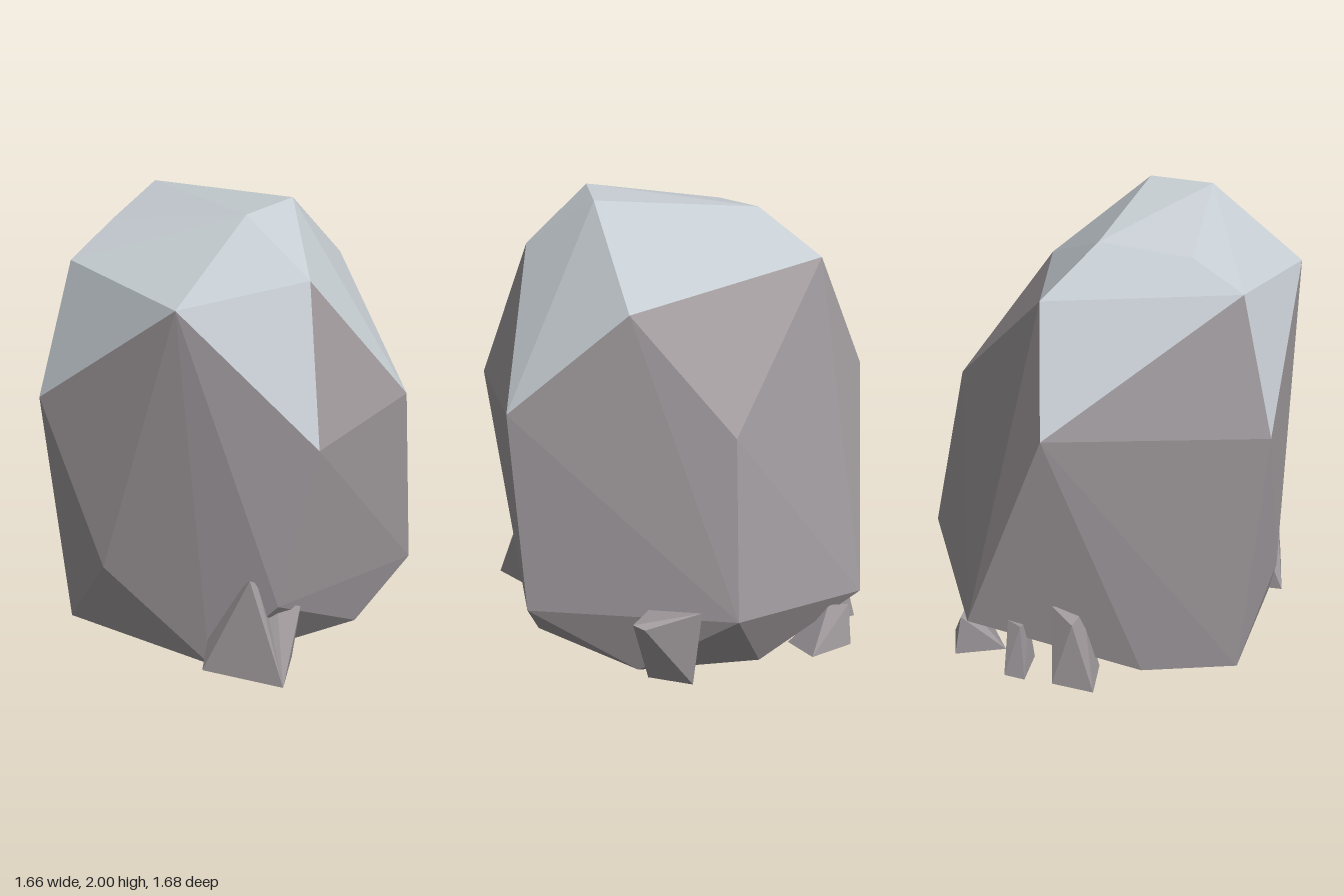
import * as THREE from 'three';
import { ConvexGeometry } from 'three/addons/geometries/ConvexGeometry.js';

const rock = new THREE.MeshStandardMaterial({ color: 0xa09a9d });
rock.name = 'greyRock';
const snow = new THREE.MeshStandardMaterial({ color: 0xc6cdd2 });
snow.name = 'paleCap';

// faceted solid wrapped around a few corner points
function facet(corners) {
  return new ConvexGeometry(corners.map((c) => new THREE.Vector3(...c)));
}

// keep only the triangles whose centre height passes the test
function pickFaces(geometry, test) {
  const p = geometry.attributes.position;
  const kept = [];
  for (let i = 0; i < p.count; i += 3) {
    if (!test((p.getY(i) + p.getY(i + 1) + p.getY(i + 2)) / 3)) continue;
    for (let k = i; k < i + 3; k++) kept.push(p.getX(k), p.getY(k), p.getZ(k));
  }
  const out = new THREE.BufferGeometry();
  out.setAttribute('position', new THREE.Float32BufferAttribute(kept, 3));
  out.computeVertexNormals();
  return out;
}

// boulder corners, from the crown down to the ground
const crown = [
  [0.34, 2, 0.145], [0.256, 2, 0.43], [-0.395, 1.925, -0.005], [-0.397, 1.87, 0.394],
  [-0.48, 1.745, 0.617], [0.13, 1.698, 0.84], [0.55, 1.756, 0.435],
  [0.374, 1.61, -0.31], [-0.6, 1.724, -0.228],
];
const waist = [
  [-0.83, 1.183, -0.2], [0.047, 1.125, -0.688], [0.83, 1.125, 0],
  [0.696, 1.1, 0.65], [-0.582, 1.14, 0.752],
];
const foot = [
  [0.105, 0.34, -0.84], [-0.655, 0.22, -0.564], [0.814, 0.24, -0.15],
  [-0.27, 0.39, 0.785], [0.545, 0.355, 0.717],
];
const base = [
  [0.66, 0, 0.115], [0.41, 0, -0.457], [-0.12, 0, -0.6],
  [-0.62, 0, 0.21], [-0.53, 0, 0.63], [0.225, 0, 0.74],
];

// small stones leaning on the boulder
const stones = {
  frontSpike: [
    [0.22, 0, 0.8], [0.6, 0, 0.78], [0.425, 0.47, 0.75], [0.45, 0.455, 0.73],
    [0.225, 0.245, 0.7], [0.25, 0, 0.55], [0.53, 0, 0.55],
  ],
  frontChip: [
    [0.6, 0, 0.78], [0.59, 0.3, 0.58], [0.515, 0.34, 0.66], [0.45, 0.3, 0.7],
    [0.53, 0, 0.53], [0.4, 0, 0.6],
  ],
  sideStone: [
    [-0.835, 0, 0.02], [-0.78, 0, -0.17], [-0.77, 0.29, -0.08], [-0.685, 0.335, -0.18],
    [-0.6, 0, 0.02], [-0.58, 0, -0.18], [-0.6, 0.28, -0.05],
  ],
  sidePebble: [
    [-0.73, 0, -0.39], [-0.76, 0, -0.295], [-0.7, 0.23, -0.32], [-0.66, 0.24, -0.38],
    [-0.55, 0, -0.28], [-0.55, 0, -0.4], [-0.58, 0.2, -0.3],
  ],
  backPebble: [
    [-0.57, 0, -0.64], [-0.35, 0, -0.68], [-0.57, 0.19, -0.61], [-0.47, 0.2, -0.6],
    [-0.5, 0, -0.42], [-0.32, 0, -0.5],
  ],
  backStone: [
    [0.4, 0, -0.54], [0.25, 0, -0.685], [0.235, 0.37, -0.745], [0.494, 0.33, -0.716],
    [0.535, 0.35, -0.685], [0.405, 0.34, -0.56], [0.28, 0, -0.5],
  ],
};

export function createModel() {
  const group = new THREE.Group();
  group.name = 'boulder';
  const add = (name, geometry, material) => {
    const mesh = new THREE.Mesh(geometry, material);
    mesh.name = name;
    group.add(mesh);
  };

  // pale cap on the high facets, grey rock below
  const capHeight = 1.491;
  const hull = facet([...crown, ...waist, ...foot, ...base]);
  add('boulderBody', pickFaces(hull, (y) => y < capHeight), rock);
  add('boulderCap', pickFaces(hull, (y) => y >= capHeight), snow);

  for (const [name, corners] of Object.entries(stones)) add(name, facet(corners), rock);
  return group;
}
